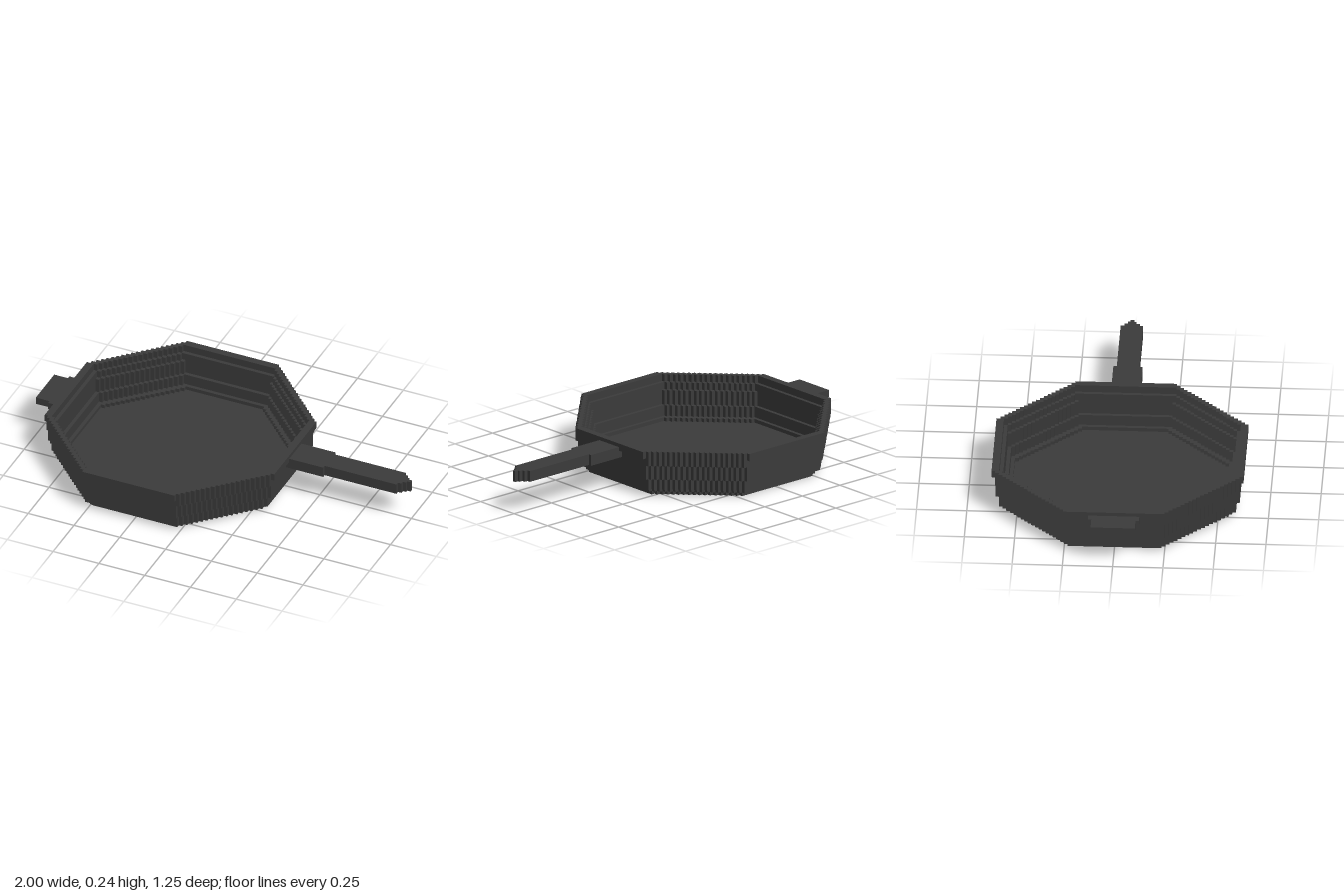
import * as THREE from 'three';

const V = 0.0187;      // size of one step
const CX = -0.26;      // centre of the pan along x

// Outline of a stepped octagon: n = half width in steps, f = half length of a straight side
function steppedOctagon(n, f) {
  const quarter = [];
  for (let j = f; j <= n; j++) {
    const i = n + f - j;
    quarter.push([i + 0.5, j + 0.5]);
    if (j < n) quarter.push([i - 0.5, j + 0.5]);
  }
  const points = [];
  for (let q = 0; q < 4; q++) {
    for (const [a, b] of quarter) {
      const [x, y] = [[a, b], [-b, a], [-a, -b], [b, -a]][q];
      points.push(new THREE.Vector2(x * V, y * V));
    }
  }
  return points;
}

export function createModel() {
  const model = new THREE.Group();
  model.name = 'fryingPan';
  const iron = new THREE.MeshStandardMaterial({ color: 0x3b3b3b });
  iron.name = 'castIron';

  // One layer of the pan, solid or with a stepped octagonal opening
  function layer(name, y0, y1, outer, inner) {
    const shape = new THREE.Shape(steppedOctagon(...outer));
    if (inner) shape.holes.push(new THREE.Path(steppedOctagon(...inner)));
    const geo = new THREE.ExtrudeGeometry(shape, { depth: (y1 - y0) * V, bevelEnabled: false });
    geo.rotateX(-Math.PI / 2);
    const mesh = new THREE.Mesh(geo, iron);
    mesh.name = name;
    mesh.position.set(CX, y0 * V, 0);
    model.add(mesh);
  }

  layer('base', 0, 1, [29, 12]);
  layer('lowerWall', 1, 2, [30, 12], [28, 11]);
  layer('curvedWall', 2, 5, [31, 13], [29, 12]);
  layer('middleWall', 5, 9, [32, 13], [30, 12]);
  layer('upperWall', 9, 11, [32, 14], [30, 13]);
  layer('rim', 11, 13, [33, 13], [31, 13]);

  // Straight block centred on z = 0
  function block(parent, x0, x1, y0, y1, halfZ) {
    const mesh = new THREE.Mesh(new THREE.BoxGeometry(x1 - x0, (y1 - y0) * V, halfZ * 2), iron);
    mesh.position.set((x0 + x1) / 2, (y0 + y1) * V / 2, 0);
    mesh.name = parent.name + 'Section';
    parent.add(mesh);
  }

  // Long handle, narrowing to a stepped tip
  const handle = new THREE.Group();
  handle.name = 'handle';
  for (const [x0, x1, hz] of [
    [0.335, 0.552, 0.073], [0.552, 0.944, 0.056], [0.944, 0.963, 0.038],
    [0.963, 0.981, 0.021], [0.981, 1, 0.009],
  ]) block(handle, x0, x1, 9, 12, hz);

  // Short helper grip on the opposite side
  const grip = new THREE.Group();
  grip.name = 'helperGrip';
  block(grip, -0.925, -0.855, 10, 12, 0.127);
  block(grip, -1, -0.925, 10, 12, 0.11);

  model.add(handle, grip);
  return model;
}
